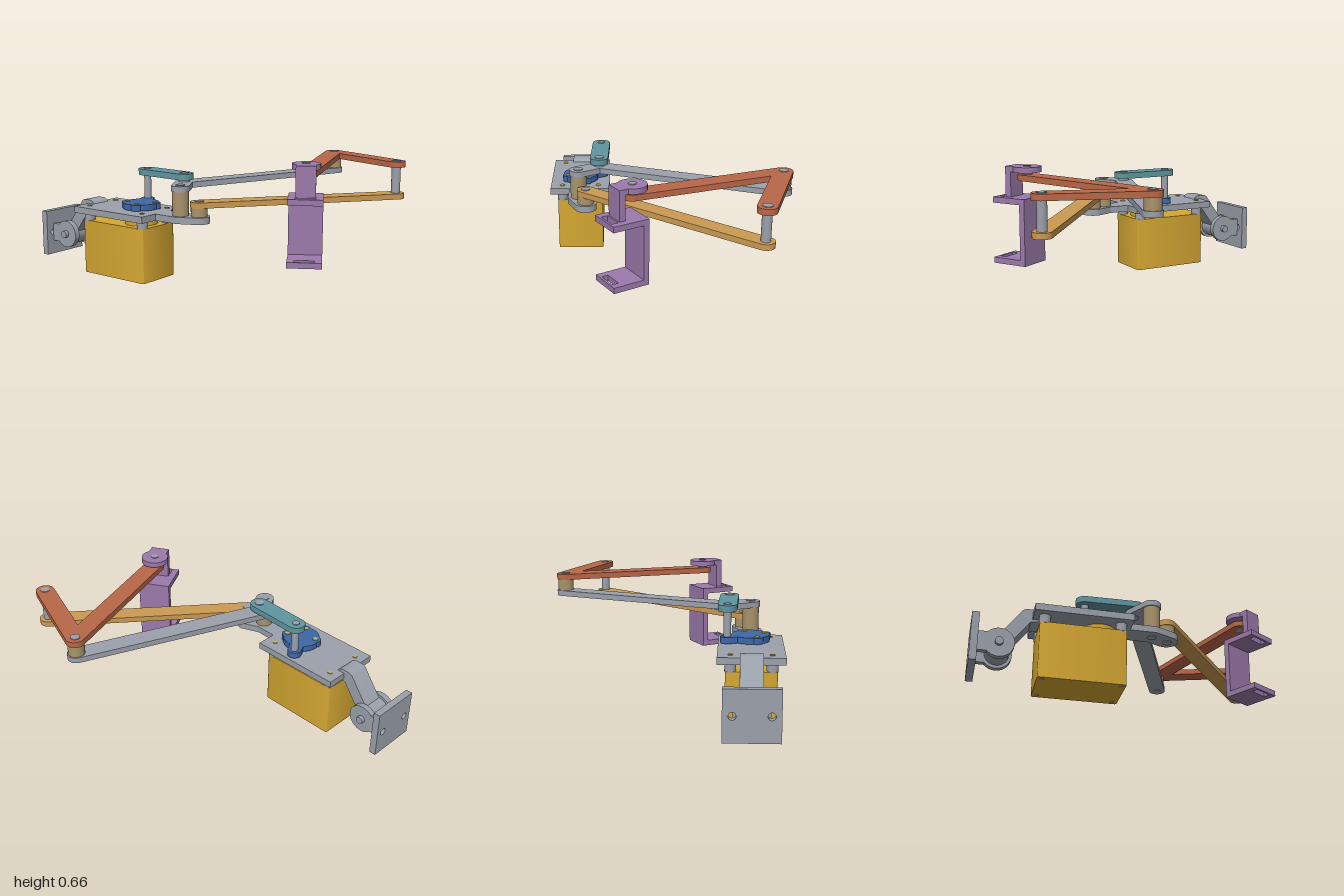
import * as THREE from 'three';
import { toCreasedNormals } from 'three/addons/utils/BufferGeometryUtils.js';

const mat = (name, color) => {
  const m = new THREE.MeshStandardMaterial({ color });
  m.name = name;
  return m;
};

export function createModel() {
  const model = new THREE.Group();
  const yellow = mat('motorYellow', 0xd6a833), steel = mat('steelGrey', 0x9ba1ab);
  const blue = mat('hornBlue', 0x3f68a8), teal = mat('crankTeal', 0x6096a1);
  const orange = mat('linkOrange', 0xcb9a52), rust = mat('couplerRust', 0xba6848);
  const tan = mat('spacerTan', 0xa8946b), purple = mat('bracketPurple', 0x9c7aab);
  const brass = mat('screwBrass', 0xbfae55);

  const add = (parent, name, geo, material, x = 0, y = 0, z = 0) => {
    const mesh = new THREE.Mesh(geo, material);
    mesh.name = name;
    mesh.position.set(x, y, z);
    parent.add(mesh);
    return mesh;
  };
  const box = (parent, name, m, x0, x1, y0, y1, z0, z1) =>
    add(parent, name, new THREE.BoxGeometry(x1 - x0, y1 - y0, z1 - z0), m, (x0 + x1) / 2, (y0 + y1) / 2, (z0 + z1) / 2);
  const rod = (parent, name, m, p, r, y0, y1) =>
    add(parent, name, new THREE.CylinderGeometry(r, r, y1 - y0, 32), m, p[0], (y0 + y1) / 2, p[1]);
  // Shape with round ends between two points
  const capsule = (p, q, r) => {
    const a = Math.atan2(q[1] - p[1], q[0] - p[0]), h = Math.PI / 2;
    const s = new THREE.Shape();
    s.absarc(q[0], q[1], r, a - h, a + h, false);
    s.absarc(p[0], p[1], r, a + h, a + 3 * h, false);
    s.closePath();
    return s;
  };
  const rect = (x0, x1, y0, y1, Kind = THREE.Shape) => new Kind([[x0, y0], [x1, y0], [x1, y1], [x0, y1]].map(p => new THREE.Vector2(...p)));
  const extrude = (shape, depth) =>
    toCreasedNormals(new THREE.ExtrudeGeometry(shape, { depth, bevelEnabled: false, curveSegments: 16 }), 0.6);
  // Horizontal slab from a shape drawn in (x, -z)
  const slab = (parent, name, m, shape, y0, y1) => add(parent, name, extrude(shape, y1 - y0).rotateX(-Math.PI / 2), m, 0, y0, 0);
  const flip = p => [p[0], -p[1]];
  const link = (parent, name, m, points, r, y0, y1) => {
    for (let i = 1; i < points.length; i++) slab(parent, name, m, capsule(flip(points[i - 1]), flip(points[i]), r), y0, y1);
  };
  const caps = (name, p, r, y0, y1) => rod(model, name, steel, p, r, y0 - 0.004, y1 + 0.004);

  // Pivots in plan (x, z)
  const motor = [-0.412, 0.048], crankPin = [-0.387, -0.078], rockerPin = [-0.18, 0.086];
  const groundA = [-0.193, 0.214], groundB = [-0.097, 0.235];
  const elbow = [0.663, -0.445], outer = [0.95, -0.04], tip = [0.438, 0.335];

  // Base assembly, turned about y
  const base = new THREE.Group();
  base.name = 'base';
  base.position.set(-0.488, 0, -0.007);
  base.rotation.y = -0.637;
  model.add(base);

  // Motor housing with softened vertical edges
  const L = 0.215, W = 0.125, c = 0.01;
  const housing = new THREE.Shape();
  housing.absarc(L - c, W - c, c, 0, Math.PI / 2);
  housing.absarc(c - L, W - c, c, Math.PI / 2, Math.PI);
  housing.absarc(c - L, c - W, c, Math.PI, Math.PI * 1.5);
  housing.absarc(L - c, c - W, c, Math.PI * 1.5, Math.PI * 2);
  slab(base, 'motorHousing', yellow, housing, 0.002, 0.294);
  rod(model, 'motorBoss', yellow, motor, 0.088, 0.29, 0.336);
  rod(model, 'motorShaft', yellow, motor, 0.037, 0.33, 0.4);

  // Top plate with tongue carrying the fixed pivots
  box(base, 'topPlate', steel, -0.245, 0.245, 0.335, 0.37, -0.163, 0.163);
  link(base, 'plateTongue', steel, [[0.2, 0], [0.369, 0.002], [0.457, -0.037]], 0.058, 0.335, 0.37);
  for (const x of [-0.19, 0.19]) for (const z of [-0.1, 0.1]) {
    rod(base, 'standoff', steel, [x, z], 0.028, 0.29, 0.337);
    rod(base, 'plateScrew', brass, [x, z], 0.013, 0.36, 0.374);
    rod(base, 'housingScrew', steel, [x, z], 0.01, 0, 0.006);
  }

  // Swing arm and hinge to the wall plate
  const arm = extrude(capsule([-0.4, 0.18], [-0.27, 0.355], 0.034), 0.11);
  add(base, 'hingeArm', arm, steel, 0, 0, -0.055);
  add(base, 'hingeArmHead', extrude(capsule([-0.27, 0.355], [-0.235, 0.355], 0.034), 0.11), steel, 0, 0, -0.055);
  const across = (name, r, len, z) =>
    add(base, name, new THREE.CylinderGeometry(r, r, len, 40).rotateX(Math.PI / 2), steel, -0.4, 0.18, z);
  across('hingeHub', 0.06, 0.11, 0);
  across('hingePin', 0.02, 0.21, 0);
  for (const s of [-1, 1]) {
    across('hingeEar', 0.075, 0.03, s * 0.07);
    box(base, 'earRoot', steel, -0.505, -0.4, 0.13, 0.23, s * 0.07 - 0.015, s * 0.07 + 0.015);
  }
  const wall = rect(-0.133, 0.133, 0.055, 0.305);
  for (const s of [-1, 1]) {
    const hole = new THREE.Path();
    hole.absarc(s * 0.088, 0.18, 0.018, 0, Math.PI * 2);
    wall.holes.push(hole);
  }
  add(base, 'wallPlate', extrude(wall, 0.036).rotateY(Math.PI / 2), steel, -0.538, 0, 0);

  // Motor horn: disc, short lobes and one long lobe to the crank pin
  rod(model, 'hornDisc', blue, motor, 0.096, 0.376, 0.408);
  link(model, 'hornLobe', blue, [motor, crankPin], 0.036, 0.376, 0.408);
  for (const [dx, dz] of [[-0.075, -0.016], [0.075, 0.016], [-0.016, 0.075]]) {
    const p = [motor[0] + dx, motor[1] + dz];
    link(model, 'hornLobe', blue, [motor, p], 0.03, 0.376, 0.408);
    rod(model, 'hornScrew', brass, p, 0.014, 0.4, 0.412);
  }
  rod(model, 'crankPost', steel, crankPin, 0.019, 0.4, 0.545);

  // Links, lowest to highest
  link(model, 'lowerLink', orange, [groundB, outer], 0.046, 0.416, 0.446);
  link(model, 'rockerLink', steel, [groundA, rockerPin, elbow], 0.048, 0.496, 0.526);
  link(model, 'crankLink', teal, [crankPin, rockerPin], 0.048, 0.537, 0.57);
  link(model, 'couplerLink', rust, [outer, elbow, tip], 0.048, 0.587, 0.618);

  // Spacers, posts and pivot caps
  rod(model, 'tallSpacer', tan, groundA, 0.043, 0.37, 0.496);
  rod(model, 'shortSpacer', tan, groundB, 0.043, 0.37, 0.416);
  rod(model, 'elbowSpacer', tan, elbow, 0.042, 0.526, 0.587);
  rod(model, 'outerPost', steel, outer, 0.024, 0.44, 0.59);
  rod(model, 'rockerSpacer', steel, rockerPin, 0.03, 0.52, 0.54);
  caps('pivotCap', groundA, 0.024, 0.335, 0.526);
  caps('pivotCap', groundB, 0.024, 0.335, 0.446);
  caps('pivotCap', rockerPin, 0.024, 0.496, 0.57);
  caps('pivotCap', crankPin, 0.019, 0.537, 0.57);
  caps('pivotCap', elbow, 0.024, 0.496, 0.618);
  caps('pivotCap', outer, 0.024, 0.416, 0.618);
  caps('pivotCap', tip, 0.02, 0.587, 0.658);
  rod(model, 'tipSpacer', purple, tip, 0.027, 0.615, 0.632);

  // End bracket hanging from the coupler tip
  const bracket = new THREE.Group();
  bracket.name = 'endBracket';
  bracket.position.set(tip[0], 0, tip[1]);
  bracket.rotation.y = -0.105;
  model.add(bracket);
  rod(bracket, 'bracketDisc', purple, [0, 0], 0.072, 0.63, 0.658);
  box(bracket, 'bracketBridge', purple, -0.05, 0.05, 0.63, 0.658, 0, 0.1);
  box(bracket, 'bracketTab', purple, -0.05, 0.05, 0.5, 0.658, 0.067, 0.1);
  box(bracket, 'bracketWall', purple, -0.087, 0.087, 0.16, 0.502, -0.041, -0.011);
  for (const y of [0.16, 0.472]) {
    const flange = rect(-0.087, 0.087, -0.154, 0.041);
    flange.holes.push(rect(-0.05, 0.05, -0.142, -0.108, THREE.Path));
    slab(bracket, 'bracketFlange', purple, flange, y, y + 0.03);
  }
  return model;
}
